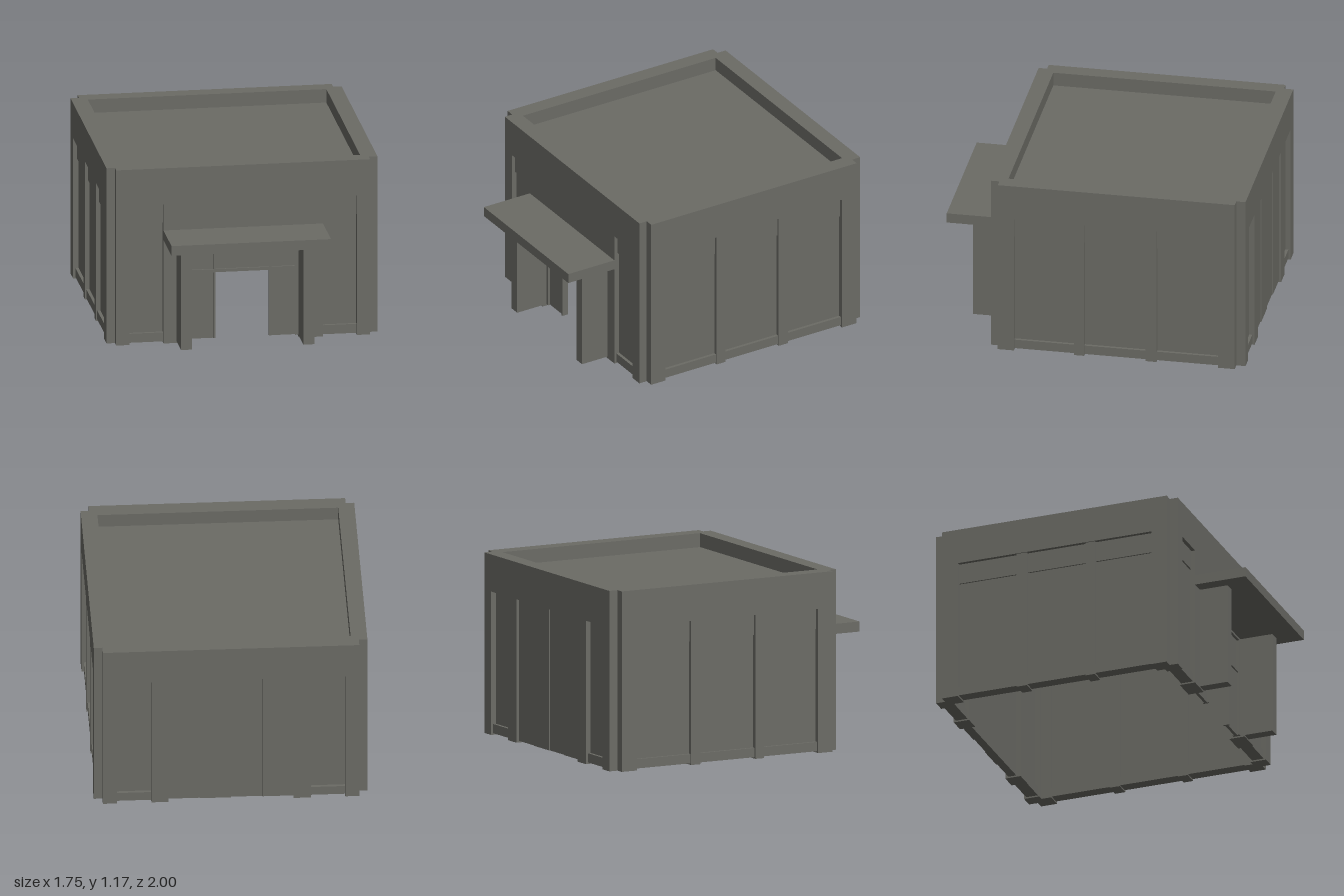
import * as THREE from 'three';

const concrete = new THREE.MeshStandardMaterial({ color: 0x6b6b65 });
concrete.name = 'concrete grey';

const H = 1.17, DEPTH = 0.105;

// Box given by its lower and upper corners
function box(parent, name, [x0, y0, z0], [x1, y1, z1]) {
  const mesh = new THREE.Mesh(new THREE.BoxGeometry(x1 - x0, y1 - y0, z1 - z0), concrete);
  mesh.position.set((x0 + x1) / 2, (y0 + y1) / 2, (z0 + z1) / 2);
  mesh.name = name;
  parent.add(mesh);
  return mesh;
}

// Wall slab with openings [from, to, top] cut up from the ground; outward is local +z
function wall(name, u0, u1, openings) {
  const group = new THREE.Group();
  group.name = name;
  const s = new THREE.Shape();
  s.moveTo(u0, 0);
  for (const [a, b, top] of openings) {
    s.lineTo(a, 0);
    s.lineTo(a, top);
    s.lineTo(b, top);
    s.lineTo(b, 0);
  }
  s.lineTo(u1, 0);
  s.lineTo(u1, H);
  s.lineTo(u0, H);
  const slab = new THREE.Mesh(new THREE.ExtrudeGeometry(s, { depth: DEPTH, bevelEnabled: false }), concrete);
  slab.name = name + 'Slab';
  group.add(slab);
  return group;
}

// Recessed window: sill, pane and optional transom panel
function windowBay(parent, a, b, top, transom = true) {
  box(parent, 'sill', [a, 0.01, 0.01], [b, 0.07, 0.09]);
  box(parent, 'windowPane', [a, 0.07, 0.025], [b, transom ? 0.8 : top, 0.07]);
  if (transom) box(parent, 'transomPanel', [a, 0.8, 0.02], [b, top, 0.08]);
}

function createFront() {
  const front = wall('frontWall', -0.82, 0.82, [
    [-0.735, -0.515, 0.93], [-0.36, 0.36, 0.69], [0.515, 0.735, 0.93],
  ]);
  for (const s of [-1, 1]) {
    windowBay(front, Math.min(s * 0.515, s * 0.735), Math.max(s * 0.515, s * 0.735), 0.93);

    // Entrance fins, jambs and sidelights
    const fin = box(front, 'entranceFin', [-0.035, 0.01, DEPTH], [0.035, 0.69, 0.295]);
    fin.position.x = s * 0.395;
    const jamb = box(front, 'doorJamb', [-0.01, 0.01, 0.03], [0.01, 0.69, 0.075]);
    jamb.position.x = s * 0.35;
    const light = box(front, 'sidelight', [-0.08, 0.01, 0.04], [0.08, 0.45, 0.06]);
    light.position.x = s * 0.26;
    const mullion = box(front, 'doorMullion', [-0.007, 0.01, 0.03], [0.007, 0.69, 0.07]);
    mullion.position.x = s * 0.18;
  }
  box(front, 'doorHead', [-0.34, 0.45, 0.03], [0.34, 0.47, 0.07]);
  box(front, 'doorTransom', [-0.34, 0.47, 0.042], [0.34, 0.68, 0.058]);
  box(front, 'doorTopRail', [-0.34, 0.675, 0.03], [0.34, 0.69, 0.075]);
  box(front, 'canopy', [-0.515, 0.69, DEPTH], [0.515, 0.755, 0.45]);
  front.position.z = 0.55;
  return front;
}

function createBack() {
  const back = wall('backWall', -0.82, 0.82, [
    [-0.73, -0.51, 0.93], [-0.4, 0.4, 0.93], [0.51, 0.73, 0.93],
  ]);
  windowBay(back, -0.73, -0.51, 0.93, false);
  windowBay(back, 0.51, 0.73, 0.93, false);
  // Four shutter panels filling the middle bay
  for (let i = 0; i < 4; i++) {
    const a = -0.4 + i * 0.2;
    box(back, 'shutterPanel', [a, 0.01, 0.03], [a + 0.2, 0.93, i % 2 ? 0.09 : 0.084]);
  }
  back.rotation.y = Math.PI;
  back.position.z = -0.895;
  return back;
}

// Side wall: three window bays between two posts; s = 1 is the +x side
function createSide(s) {
  const range = (a, b) => [Math.min(-s * a, -s * b), Math.max(-s * a, -s * b)];
  const name = s > 0 ? 'leftWall' : 'rightWall';
  const side = wall(name, ...range(0.6, -0.94), [[...range(0.495, -0.83), 0.935]]);
  for (const [a, b] of [[0.495, 0.105], [0.04, -0.36], [-0.43, -0.83]]) {
    windowBay(side, ...range(a, b), 0.935);
  }
  for (const [a, b] of [[0.105, 0.04], [-0.36, -0.43]]) {
    const [u0, u1] = range(a, b);
    box(side, 'windowPost', [u0, 0, 0], [u1, 0.935, 0.098]);
  }
  side.rotation.y = s * Math.PI / 2;
  side.position.x = s * 0.77;
  return side;
}

export function createModel() {
  const model = new THREE.Group();
  model.name = 'building';
  model.add(createFront(), createBack(), createSide(1), createSide(-1));
  // Flat roof set below the parapet
  box(model, 'roof', [-0.775, 1.04, -0.9], [0.775, 1.08, 0.555]);
  return model;
}
